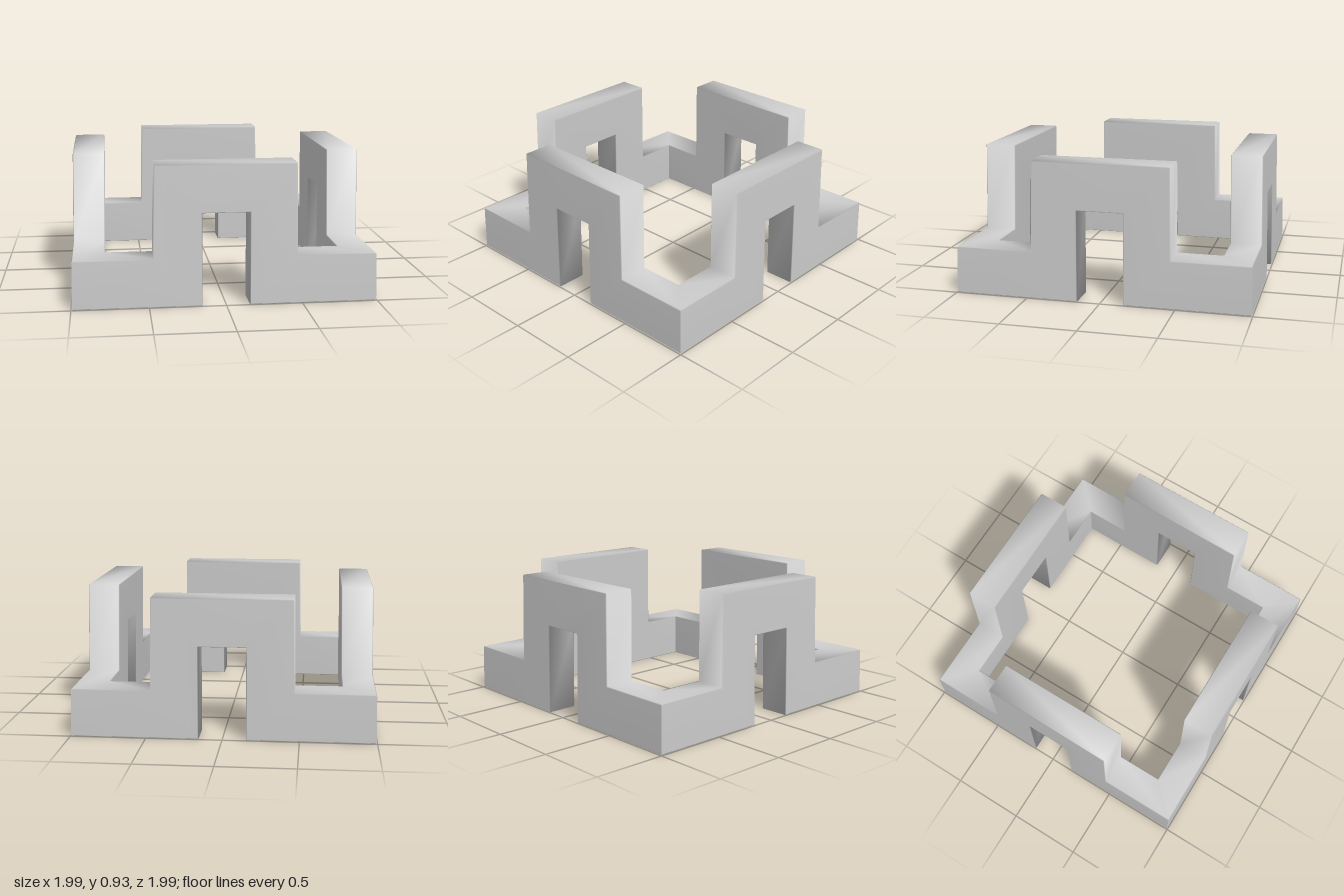
import * as THREE from 'three';
import { mergeVertices } from 'three/addons/utils/BufferGeometryUtils.js';

const OUTER = 0.995, INNER = 0.78, BEVEL = 0.006;

// One stepped side: low feet running to the corners, two columns and a bridge
function sideGeometry() {
  const half = [[0.155, 0], [1, 0], [1, 0.32], [0.468, 0.32], [0.458, 0.925]];
  const left = half.map(([x, y]) => [-x, y]).reverse();
  const outline = [...half, ...left, [-0.155, 0.611], [0.155, 0.611]];
  const shape = new THREE.Shape(outline.map(([x, y]) => new THREE.Vector2(x, y)));
  const extruded = new THREE.ExtrudeGeometry(shape, {
    depth: OUTER - INNER - 2 * BEVEL, bevelEnabled: true, bevelSegments: 1,
    bevelThickness: BEVEL, bevelSize: BEVEL, bevelOffset: -BEVEL,
  });
  extruded.translate(0, 0, INNER + BEVEL);

  // Leave out the end walls, which would be buried in the corner joints
  const p = extruded.attributes.position;
  const positions = [];
  for (let i = 0; i < p.count; i += 3) {
    const corners = [i, i + 1, i + 2];
    if (corners.every((k) => Math.abs(p.getX(k)) > 0.9)) continue;
    for (const k of corners) {
      // Lean the wall slightly inward, then mitre the foot ends at 45 degrees
      const x = p.getX(k), y = p.getY(k), z = p.getZ(k) - 0.02 * y;
      positions.push(Math.abs(x) > 0.9 ? Math.sign(x) * z : x, y, z);
    }
  }

  // Soft shading flowing round the edges of each side
  const open = new THREE.BufferGeometry();
  open.setAttribute('position', new THREE.Float32BufferAttribute(positions, 3));
  const geo = mergeVertices(open);
  geo.computeVertexNormals();
  return geo;
}

export function createModel() {
  const group = new THREE.Group();
  group.name = 'steppedRing';
  const material = new THREE.MeshStandardMaterial({ color: 0xcccccc });
  const geo = sideGeometry();

  // Four equal sides joined at the corners
  ['frontSide', 'leftSide', 'backSide', 'rightSide'].forEach((name, i) => {
    const side = new THREE.Mesh(geo, material);
    side.name = name;
    side.rotation.y = i * Math.PI / 2;
    group.add(side);
  });
  return group;
}
